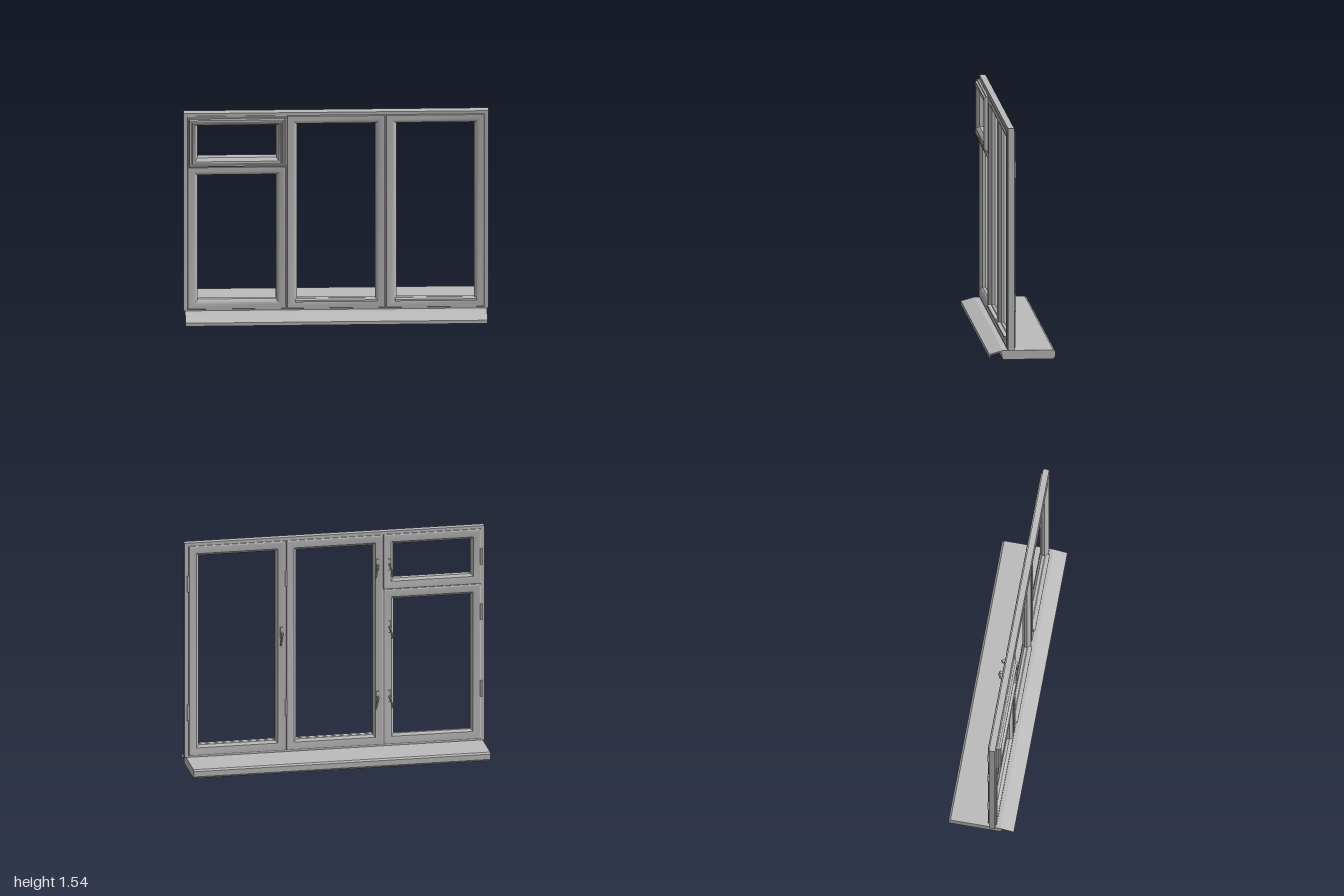
import * as THREE from 'three';
import { toCreasedNormals } from 'three/addons/utils/BufferGeometryUtils.js';

const grey = new THREE.MeshStandardMaterial({ color: 0xbcbcbc });
grey.name = 'light grey';

function add(parent, name, geometry) {
  const mesh = new THREE.Mesh(geometry, grey);
  mesh.name = name;
  parent.add(mesh);
  return mesh;
}

function box(parent, name, x0, x1, y0, y1, z0, z1) {
  const mesh = add(parent, name, new THREE.BoxGeometry(x1 - x0, y1 - y0, z1 - z0));
  mesh.position.set((x0 + x1) / 2, (y0 + y1) / 2, (z0 + z1) / 2);
  return mesh;
}

// Mitred rectangular ring: a closed profile of [inset, z] swept round a rectangle
function mitredRing([x0, x1, y0, y1], profile) {
  const point = (k, [d, z]) => [
    k === 0 || k === 3 ? x0 + d : x1 - d,
    k < 2 ? y0 + d : y1 - d,
    z,
  ];
  const pos = [];
  for (let k = 0; k < 4; k++) {
    const n = (k + 1) % 4;
    profile.forEach((p, i) => {
      const q = profile[(i + 1) % profile.length];
      const a = point(k, p), b = point(n, p), c = point(n, q), d = point(k, q);
      pos.push(...a, ...b, ...c, ...a, ...c, ...d);
    });
  }
  const geo = new THREE.BufferGeometry();
  geo.setAttribute('position', new THREE.Float32BufferAttribute(pos, 3));
  geo.computeVertexNormals();
  return toCreasedNormals(geo, 0.5);
}

// Side section given as [z, y] points, extruded along x
function extrudeAlongX(points, length) {
  const shape = new THREE.Shape(points.map(([z, y]) => new THREE.Vector2(z, y)));
  const geo = new THREE.ExtrudeGeometry(shape, { depth: length, bevelEnabled: false });
  geo.rotateY(-Math.PI / 2);
  geo.translate(length / 2, 0, 0);
  return geo;
}

const sashProfile = [
  [0, 0.046], [0, 0.096], [0.004, 0.1], [0.035, 0.1], [0.05, 0.096], [0.062, 0.088],
  [0.068, 0.08], [0.068, 0.062], [0.052, 0.047], [0.022, 0.042], [0.006, 0.042],
];

// Stepped front of the small top sash
const ventProfile = [
  [0, 0.046], [0, 0.098], [0.004, 0.1], [0.004, 0.113], [0.013, 0.113], [0.016, 0.126],
  [0.028, 0.126], [0.031, 0.119], [0.036, 0.119], [0.039, 0.126], [0.05, 0.122], [0.062, 0.108],
  [0.068, 0.1], [0.068, 0.062], [0.052, 0.047], [0.022, 0.042], [0.006, 0.042],
];

// Catch plate, neck and hanging lever on the inner face
function makeHandle(x, y, lean) {
  const handle = new THREE.Group();
  handle.name = 'handle';
  box(handle, 'handlePlate', -0.01, 0.01, -0.035, 0.045, 0.034, 0.043);
  const neck = add(handle, 'handleNeck', new THREE.CylinderGeometry(0.008, 0.01, 0.022, 12));
  neck.rotation.x = Math.PI / 2;
  neck.position.set(0, 0.005, 0.026);
  const path = new THREE.CatmullRomCurve3([
    [0, 0.005, 0.022], [0, 0.004, 0.013], [lean * 0.3, -0.015, 0.01],
    [lean * 0.8, -0.04, 0.012], [lean, -0.068, 0.017],
  ].map((p) => new THREE.Vector3(...p)));
  add(handle, 'handleLever', new THREE.TubeGeometry(path, 16, 0.006, 8));
  const tip = add(handle, 'handleTip', new THREE.SphereGeometry(0.007, 10, 8));
  tip.position.set(lean, -0.068, 0.017);
  handle.position.set(x, y, 0);
  return handle;
}

export function createModel() {
  const model = new THREE.Group();
  model.name = 'window';

  // Outer frame with mullions and transom
  const frame = new THREE.Group();
  frame.name = 'frame';
  add(frame, 'outerFrame', mitredRing([-1, 1, 0.06, 1.54],
    [[0, 0.053], [0, 0.094], [0.026, 0.094], [0.04, 0.09], [0.04, 0.053]]));
  for (const x of [-0.325, 0.325]) {
    box(frame, 'mullion', x - 0.03, x + 0.03, 0.09, 1.51, 0.053, 0.09);
  }
  box(frame, 'transom', -0.97, -0.34, 1.115, 1.17, 0.053, 0.09);
  model.add(frame);

  // Sashes
  const sashes = {
    lowerRightSash: [-0.975, -0.327, 0.072, 1.14],
    middleSash: [-0.323, 0.323, 0.072, 1.518],
    leftSash: [0.327, 0.973, 0.072, 1.518],
  };
  for (const [name, rect] of Object.entries(sashes)) {
    add(model, name, mitredRing(rect, sashProfile));
  }
  add(model, 'topVentSash', mitredRing([-0.977, -0.325, 1.143, 1.52], ventProfile));

  // Drip bars at the foot of the tall sashes
  for (const [x0, x1] of [[-0.27, 0.27], [0.385, 0.92]]) {
    box(model, 'dripBar', x0, x1, 0.126, 0.14, 0.085, 0.112);
  }

  // Inner sill board and outer sloping drip sill
  add(model, 'sillBoard', extrudeAlongX([
    [0.128, 0.004], [0.14, 0.05], [0.128, 0.06], [-0.205, 0.06], [-0.218, 0.05],
    [-0.218, 0.014], [-0.205, 0.004],
  ].map(([z, y]) => [z, y === 0.004 ? 0 : y]), 1.98));
  add(model, 'dripSill', extrudeAlongX([
    [0.128, 0.06], [0.128, 0.052], [0.21, 0.028], [0.21, 0.012], [0.217, 0.012], [0.217, 0.036],
  ].reverse(), 1.98));

  // Handles
  for (const [x, y, lean] of [
    [-0.285, 1.31, 0.014], [-0.285, 0.4, 0.014], [-0.365, 1.31, -0.014],
    [-0.365, 0.88, -0.014], [-0.365, 0.4, -0.014], [0.355, 0.88, 0.008],
  ]) {
    model.add(makeHandle(x, y, lean));
  }

  // Hinges
  for (const [x, y] of [
    [0.977, 1.26], [0.977, 0.37], [0.325, 1.26], [0.325, 0.37],
    [-0.977, 1.33], [-0.977, 0.95], [-0.977, 0.42],
  ]) {
    const hinge = add(model, 'hinge', new THREE.CylinderGeometry(0.008, 0.008, 0.11, 12));
    hinge.position.set(x, y, 0.046);
  }
  return model;
}
